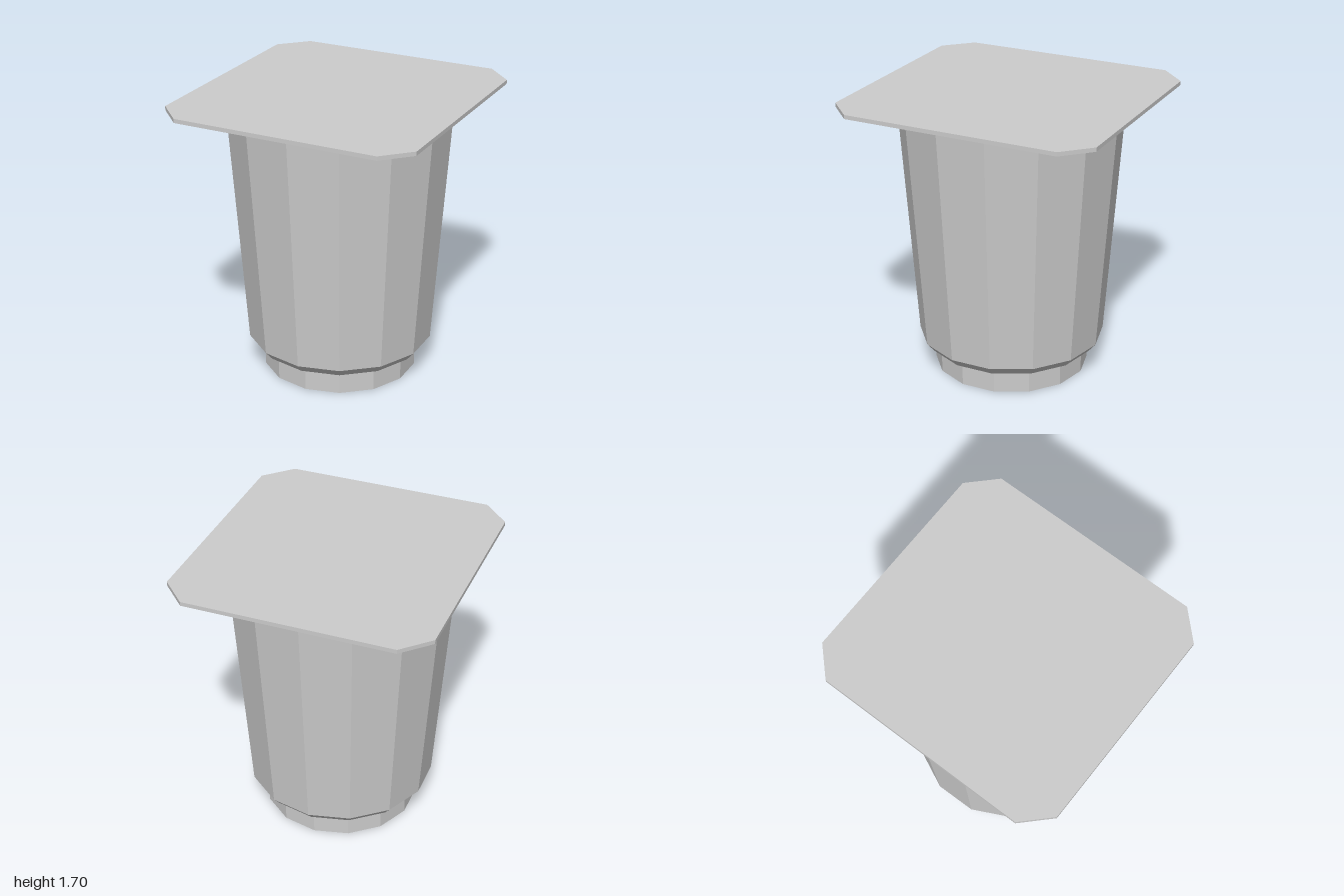
import * as THREE from 'three';

const SIDES = 14;
const TURN = THREE.MathUtils.degToRad(-4.9);

export function createModel() {
  const group = new THREE.Group();
  const grey = new THREE.MeshStandardMaterial({ color: 0xcccccc, flatShading: true });
  grey.name = 'light grey';

  const add = (name, geometry) => {
    const mesh = new THREE.Mesh(geometry, grey);
    mesh.name = name;
    group.add(mesh);
    return mesh;
  };

  // Faceted shell from a profile of [radius, height] pairs, bottom to top
  const turned = (profile) => new THREE.LatheGeometry(
    profile.map(([r, y]) => new THREE.Vector2(r, y)), SIDES, TURN);

  // Narrow foot with a closed underside
  add('foot', turned([[0, 0], [0.462, 0], [0.462, 0.147]]));

  // Tapered cup with a bevelled lower rim
  add('cup', turned([[0.462, 0.147], [0.51, 0.147], [0.555, 0.2], [0.66, 1.676]]));

  // Thin lid: a rectangle with clipped corners, turned about the cup
  const w = 1.587 / 2, d = 1.53 / 2, c = 0.154, thickness = 0.024;
  const outline = new THREE.Shape([
    [w - c, -d], [w, c - d], [w, d - c], [w - c, d],
    [c - w, d], [-w, d - c], [-w, c - d], [c - w, -d],
  ].map(([x, y]) => new THREE.Vector2(x, y)));
  const lidGeometry = new THREE.ExtrudeGeometry(outline, { depth: thickness, bevelEnabled: false });
  lidGeometry.rotateX(-Math.PI / 2);
  const lid = add('lid', lidGeometry);
  lid.position.y = 1.676;
  lid.rotation.y = THREE.MathUtils.degToRad(33);

  return group;
}
